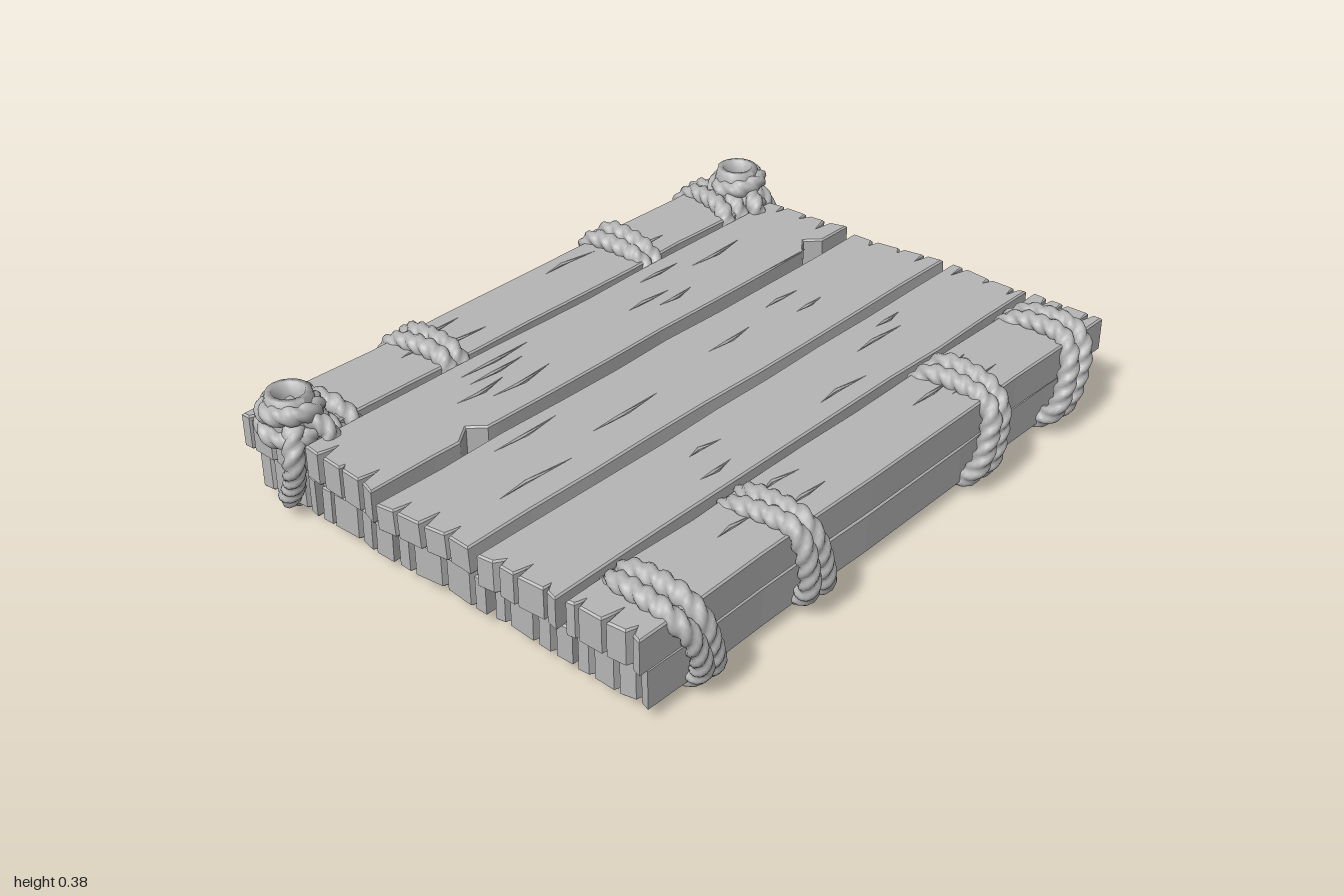
import * as THREE from 'three';
import { mergeVertices } from 'three/addons/utils/BufferGeometryUtils.js';

const wood = new THREE.MeshStandardMaterial({ color: 0xb6b6b6, flatShading: true });
wood.name = 'weathered grey wood';
const hemp = new THREE.MeshStandardMaterial({ color: 0xb5b5b5, side: THREE.DoubleSide });
hemp.name = 'grey rope';

// small seeded generator for the wood wear
let seed = 7;
const rand = () => (seed = (seed * 16807) % 2147483647) / 2147483647;
const jitter = (a) => (rand() - 0.5) * 2 * a;

// worn board: wavy long edges, split ends and narrow cracks along the grain
function plank(name, { x, z0, z1, y0, y1, tilt = 0, taper = 0, chips = [] }) {
  const half = (z1 - z0) / 2, bevel = 0.005, pts = [];
  const reach = (z) => x - taper * (half - z) / (2 * half);
  const end = (side) => {
    const n = 3;
    for (let k = 0; k < n; k++) {
      const z = side * half * (-0.6 + 0.6 * k + jitter(0.14));
      const w = 0.006 + rand() * 0.006, depth = 0.02 + rand() * 0.05;
      const off = jitter(0.006);
      pts.push([side * (reach(z) + off - 0.004), z - side * w]);
      pts.push([side * (reach(z) - depth), z + jitter(0.006)]);
      pts.push([side * (reach(z) + off - 0.004), z + side * w]);
    }
  };
  const edge = (side) => {
    const n = 9;
    for (let i = 0; i <= n; i++) {
      const inner = i > 0 && i < n;
      const px = -side * reach(side * half) * (-1 + (2 * i) / n);
      pts.push([px, side * (half - (inner ? rand() * 0.009 : 0.004))]);
    }
  };
  edge(-1); end(1); edge(1); end(-1);
  // triangular chips broken out of the front edge
  for (const c of chips) {
    const at = pts.findIndex((p, i) => p[1] > half * 0.9 && pts[i + 1] && pts[i + 1][1] > half * 0.9
      && p[0] > c && pts[i + 1][0] < c);
    if (at >= 0) pts.splice(at + 1, 0, [c + 0.05, half - 0.004], [c + 0.01, half - 0.045], [c - 0.05, half - 0.004]);
  }
  const shape = new THREE.Shape(pts.map((p) => new THREE.Vector2(...p)));

  // one or two cracks in each lane of the grain
  const lanes = Math.floor((2 * half - 0.08) / 0.045);
  for (let k = 0; k < lanes; k++) {
    const z = -half + 0.06 + k * 0.045;
    for (const sx of [-0.45, 0.4]) {
      if (rand() < 0.3) continue;
      const l = 0.1 + rand() * 0.16, cx = sx + jitter(0.22), b = jitter(0.008);
      shape.holes.push(new THREE.Path([
        [cx - l / 2, z], [cx - l * 0.1, z + b - 0.003], [cx + l / 2, z - b], [cx, z + b + 0.003],
      ].map((p) => new THREE.Vector2(...p))));
    }
  }
  const thick = y1 - y0;
  const geo = new THREE.ExtrudeGeometry(shape, {
    depth: thick - 2 * bevel, bevelEnabled: true, bevelSize: bevel, bevelOffset: -bevel,
    bevelThickness: bevel, bevelSegments: 1,
  });
  geo.rotateX(Math.PI / 2).translate(0, thick / 2 - bevel, 0);
  const mesh = new THREE.Mesh(geo, wood);
  mesh.position.set(0, (y0 + y1) / 2, (z0 + z1) / 2);
  mesh.rotation.x = tilt;
  mesh.name = name;
  return mesh;
}

// three-strand twisted rope along a curve
function rope(name, points, r, lays, closed = true) {
  const segs = lays * 6, sides = 12;
  const curve = new THREE.CatmullRomCurve3(points, closed);
  let geo = new THREE.TubeGeometry(curve, segs, r, sides, closed);
  const pos = geo.attributes.position, v = new THREE.Vector3();
  for (let i = 0; i <= segs; i++) {
    const c = curve.getPointAt(i / segs);
    for (let j = 0; j <= sides; j++) {
      const id = i * (sides + 1) + j;
      const lobe = Math.abs(Math.cos(1.5 * (j / sides) * Math.PI * 2 + Math.PI * lays * (i / segs)));
      v.fromBufferAttribute(pos, id).sub(c).multiplyScalar(0.76 + 0.34 * lobe).add(c);
      pos.setXYZ(id, v.x, v.y, v.z);
    }
  }
  geo.deleteAttribute('uv');
  geo.deleteAttribute('normal');
  geo = mergeVertices(geo, 1e-5);
  geo.computeVertexNormals();
  const mesh = new THREE.Mesh(geo, hemp);
  mesh.name = name;
  return mesh;
}

// two turns of rope around a pair of stacked edge boards
function lashing(name, x, z, lean, slant = 0) {
  const group = new THREE.Group();
  group.name = name;
  for (const s of [-1, 1]) {
    const pts = [];
    for (let i = 0; i < 20; i++) {
      const a = (i / 20) * Math.PI * 2, c = Math.cos(a), d = Math.sin(a);
      const dz = Math.sign(c) * Math.abs(c) ** 0.62 * 0.131;
      const dy = Math.sign(d) * Math.abs(d) ** 0.62 * (0.126 + s * 0.003);
      pts.push(new THREE.Vector3(
        x + s * (0.027 + 0.006 * Math.sin(a * 2 + x * 9)) + lean * (dy / 0.13) + slant * (dz / 0.13),
        0.163 + dy + 0.006 * Math.sin(a * 3 + x * 5), z + dz));
    }
    group.add(rope('lashingTurn', pts, 0.028, 20));
  }
  return group;
}

const circle = (cx, cy, cz, r, tiltX = 0, tiltZ = 0) => Array.from({ length: 10 }, (_, i) => {
  const a = (i / 10) * Math.PI * 2, dx = Math.cos(a) * r, dz = Math.sin(a) * r;
  return new THREE.Vector3(cx + dx, cy + dx * tiltX + dz * tiltZ, cz + dz);
});

// knot with a cut, hollow rope end standing on a back corner
function cornerKnot(side) {
  const group = new THREE.Group();
  group.name = side > 0 ? 'leftCornerKnot' : 'rightCornerKnot';
  const x = side * 0.905, z = -0.58;
  group.add(rope('knotUpperCoil', circle(x, 0.325, z, 0.064, side * 0.1, 0.15), 0.028, 10));
  group.add(rope('knotLowerCoil', circle(x, 0.285, z, 0.07, -side * 0.2, -0.2), 0.027, 10));
  const stub = new THREE.Mesh(new THREE.LatheGeometry([
    [0.072, 0.27], [0.07, 0.34], [0.062, 0.375], [0.045, 0.375], [0.036, 0.34], [0.034, 0.285], [0, 0.285],
  ].map((p) => new THREE.Vector2(...p)), 16), hemp);
  stub.geometry.computeVertexNormals();
  stub.position.set(x, 0, z);
  stub.name = 'cutRopeEnd';
  group.add(stub);
  // strand pulled over the board end and tucked under
  const path = (list) => list.map(([a, b, c]) => new THREE.Vector3(side * a, b, c));
  group.add(rope('endStrand', path([
    [0.86, 0.31, -0.64], [0.94, 0.29, -0.53], [0.968, 0.22, -0.505], [0.95, 0.12, -0.54],
    [0.93, 0.05, -0.59], [0.86, 0.035, -0.6]]), 0.029, 12, false));
  group.add(rope('innerStrand', path([
    [0.9, 0.32, -0.53], [0.87, 0.28, -0.475], [0.88, 0.17, -0.468], [0.86, 0.06, -0.475],
    [0.82, 0.03, -0.56]]), 0.027, 10, false));
  return group;
}

export function createModel() {
  const model = new THREE.Group();
  model.name = 'lashedPlankPlatform';

  // upper deck, front to back
  const deck = new THREE.Group();
  deck.name = 'upperDeck';
  [
    { x: 0.98, z0: 0.485, z1: 0.722, y0: 0.17, y1: 0.275 },
    { x: 0.985, z0: 0.195, z1: 0.463, y0: 0.172, y1: 0.268 },
    { x: 0.982, z0: -0.17, z1: 0.172, y0: 0.178, y1: 0.258, tilt: -0.07 },
    { x: 0.975, z0: -0.485, z1: -0.188, y0: 0.168, y1: 0.268, taper: 0.03, chips: [-0.62, 0.8] },
    { x: 0.96, z0: -0.724, z1: -0.495, y0: 0.17, y1: 0.274 },
  ].forEach((p) => deck.add(plank('deckPlank', p)));

  // lower layer, slightly shorter
  const base = new THREE.Group();
  base.name = 'lowerLayer';
  [
    { x: 0.935, z0: 0.475, z1: 0.705, y0: 0.034, y1: 0.155 },
    { x: 0.93, z0: 0.192, z1: 0.46, y0: 0.036, y1: 0.146, tilt: 0.02 },
    { x: 0.935, z0: -0.152, z1: 0.17, y0: 0.038, y1: 0.146 },
    { x: 0.93, z0: -0.455, z1: -0.175, y0: 0.032, y1: 0.143, tilt: 0.03 },
    { x: 0.93, z0: -0.705, z1: -0.475, y0: 0.034, y1: 0.152 },
  ].forEach((p) => base.add(plank('basePlank', p)));
  model.add(deck, base);

  // lashings along the front edge, then the back edge
  [[-0.79, -0.045], [-0.37, -0.03], [0.4, 0.025], [0.79, 0.045]].forEach(([x, lean]) =>
    model.add(lashing('frontLashing', x, 0.615, lean)));
  [[-0.4, 0, 0], [0.405, 0, 0], [-0.805, -0.025, 0.03], [0.805, 0.025, -0.03]].forEach(([x, lean, slant]) =>
    model.add(lashing('backLashing', x, -0.618, lean, slant)));

  for (const side of [-1, 1]) model.add(cornerKnot(side));
  return model;
}
